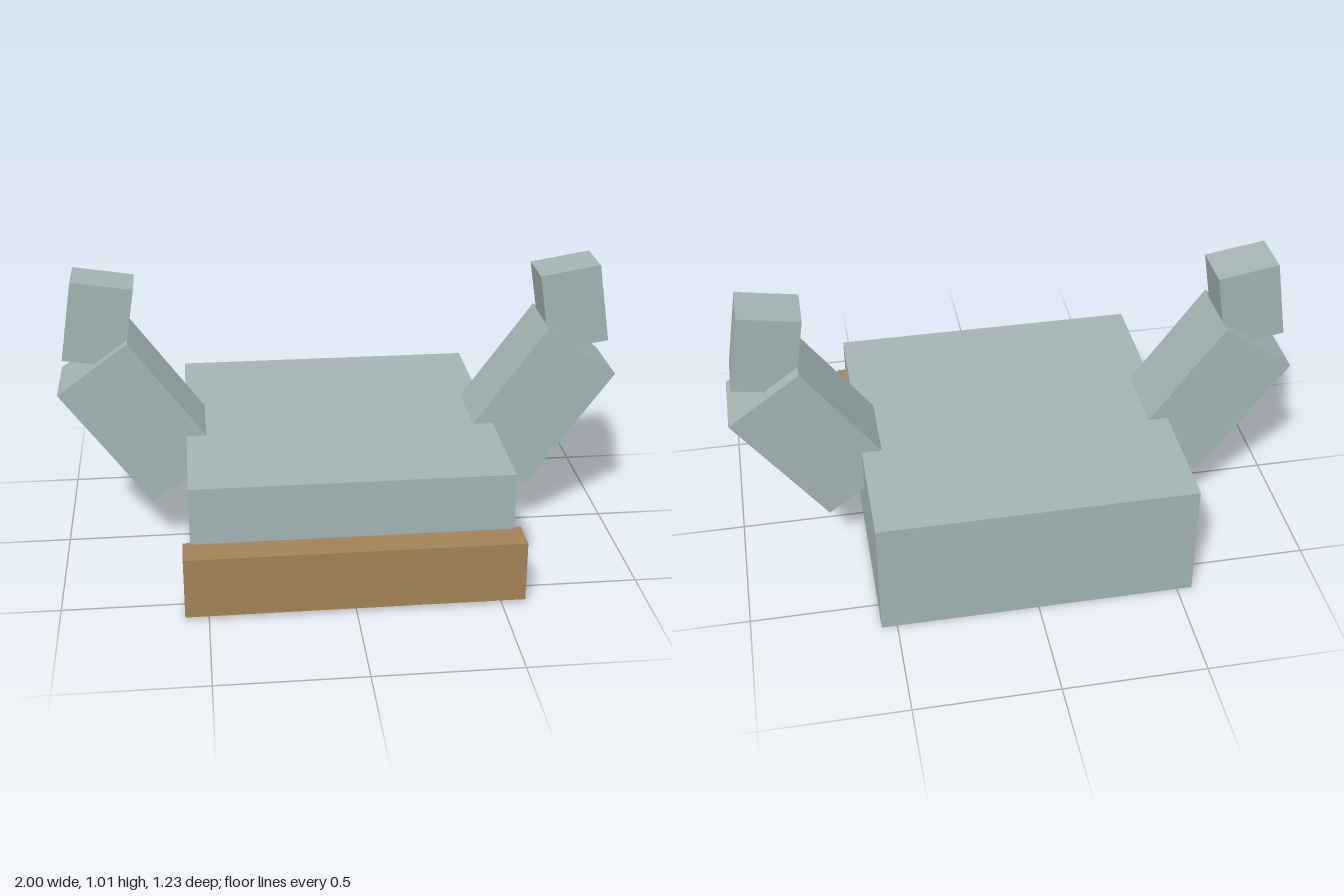
import * as THREE from 'three';

export function createModel() {
  const model = new THREE.Group();
  const grey = new THREE.MeshStandardMaterial({ color: 0xa2b4b3 });
  grey.name = 'greySteel';
  const brown = new THREE.MeshStandardMaterial({ color: 0xa48257 });
  brown.name = 'brownWood';

  // Adds a box by size and centre, tilted about z
  function box(name, material, size, centre, tilt = 0) {
    const mesh = new THREE.Mesh(new THREE.BoxGeometry(...size), material);
    mesh.name = name;
    mesh.position.set(...centre);
    mesh.rotation.z = THREE.MathUtils.degToRad(tilt);
    model.add(mesh);
  }

  // Main block and the bar across its front
  box('body', grey, [1.108, 0.438, 1.117], [0, 0.219, -0.054]);
  box('frontBar', brown, [1.16, 0.217, 0.12], [0, 0.1235, 0.553]);

  // Arms leaning outward, with forearms tipped back inward
  for (const [side, s] of [['left', 1], ['right', -1]]) {
    box(side + 'Arm', grey, [0.313, 0.535, 0.266], [s * 0.714, 0.489, -0.054], s * -36);
    box(side + 'Forearm', grey, [0.217, 0.29, 0.17], [s * 0.846, 0.852, -0.053], s * 9.2);
  }
  return model;
}
